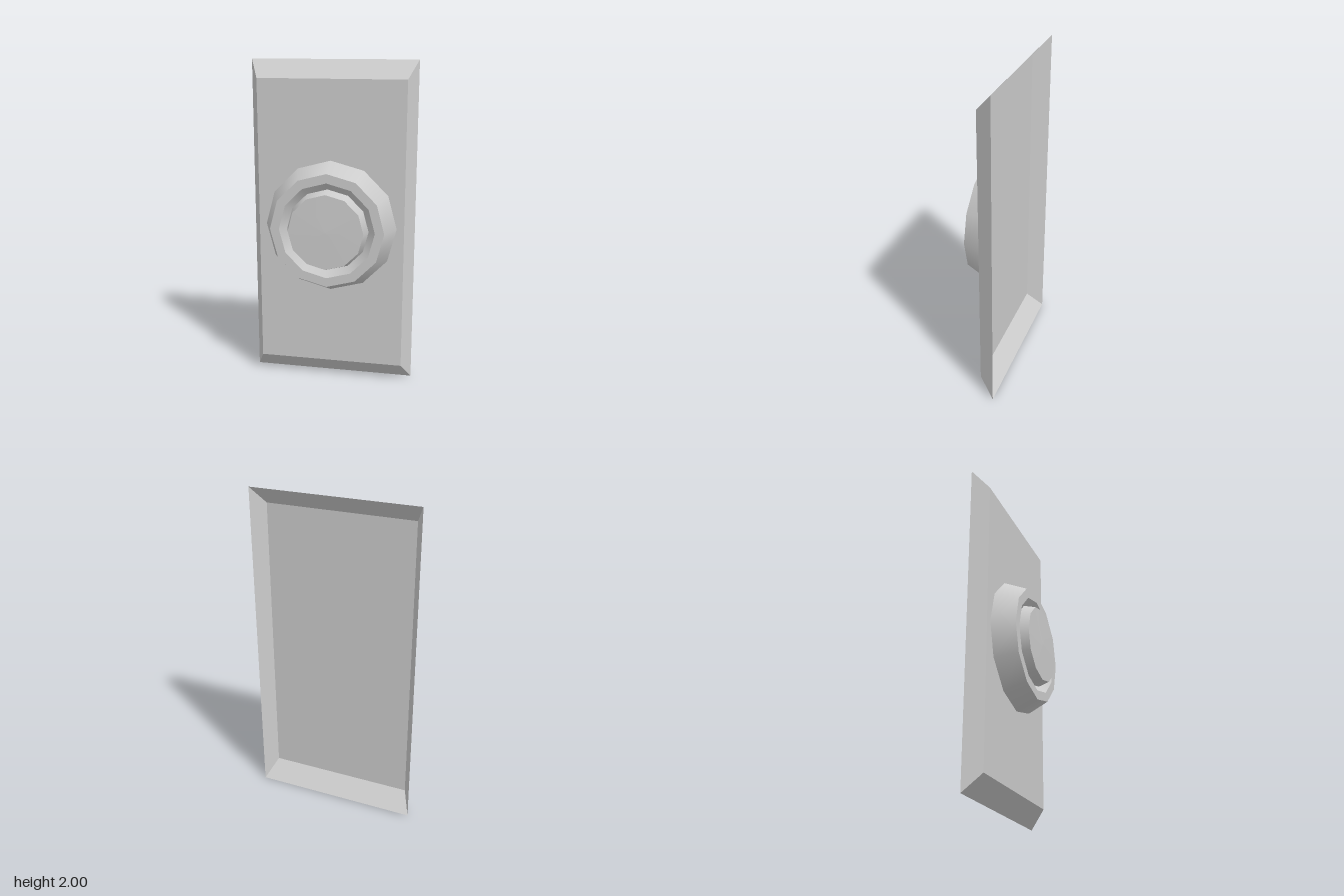
import * as THREE from 'three';

const SIDES = 12;
const grey = (options = {}) =>
  new THREE.MeshStandardMaterial({ color: 0xcccccc, side: THREE.DoubleSide, ...options });

// Revolves a profile of [radius, z] points about the z axis
function revolve(profile, sides, start = 0) {
  const points = profile.map(([r, z]) => new THREE.Vector2(r, z));
  return new THREE.LatheGeometry(points, sides, start).rotateX(Math.PI / 2);
}

// One mesh per band, so edges between bands stay crisp
function bands(name, profile, material) {
  const group = new THREE.Group();
  group.name = name;
  for (let i = 0; i < profile.length - 1; i++) {
    const mesh = new THREE.Mesh(revolve([profile[i], profile[i + 1]], SIDES), material);
    mesh.name = `${name}Band${i + 1}`;
    group.add(mesh);
  }
  return group;
}

export function createModel() {
  const model = new THREE.Group();
  model.name = 'doorbell';

  // Bevelled backing plate: a four-sided shell, open at the back
  const k = Math.SQRT2;
  const plateGeometry = revolve([[k, -0.135], [0.89 * k, -0.035], [0, -0.035]], 4, Math.PI / 4);
  plateGeometry.scale(0.508, 1, 1);
  const plate = new THREE.Mesh(plateGeometry, grey({ flatShading: true }));
  plate.name = 'backPlate';
  plate.position.y = 1;
  model.add(plate);

  // Sloped collar with a flat rim and an inner wall down to the button
  const smooth = grey();
  const collar = bands('collar', [
    [0.407, -0.035], [0.349, 0.097], [0.293, 0.097], [0.25, 0.06],
  ], smooth);

  // Push button with tapered side and a very slightly domed face
  const button = bands('button', [
    [0.25, 0.06], [0.23, 0.13], [0, 0.135],
  ], smooth);

  for (const part of [collar, button]) {
    part.position.y = 1;
    model.add(part);
  }
  return model;
}
